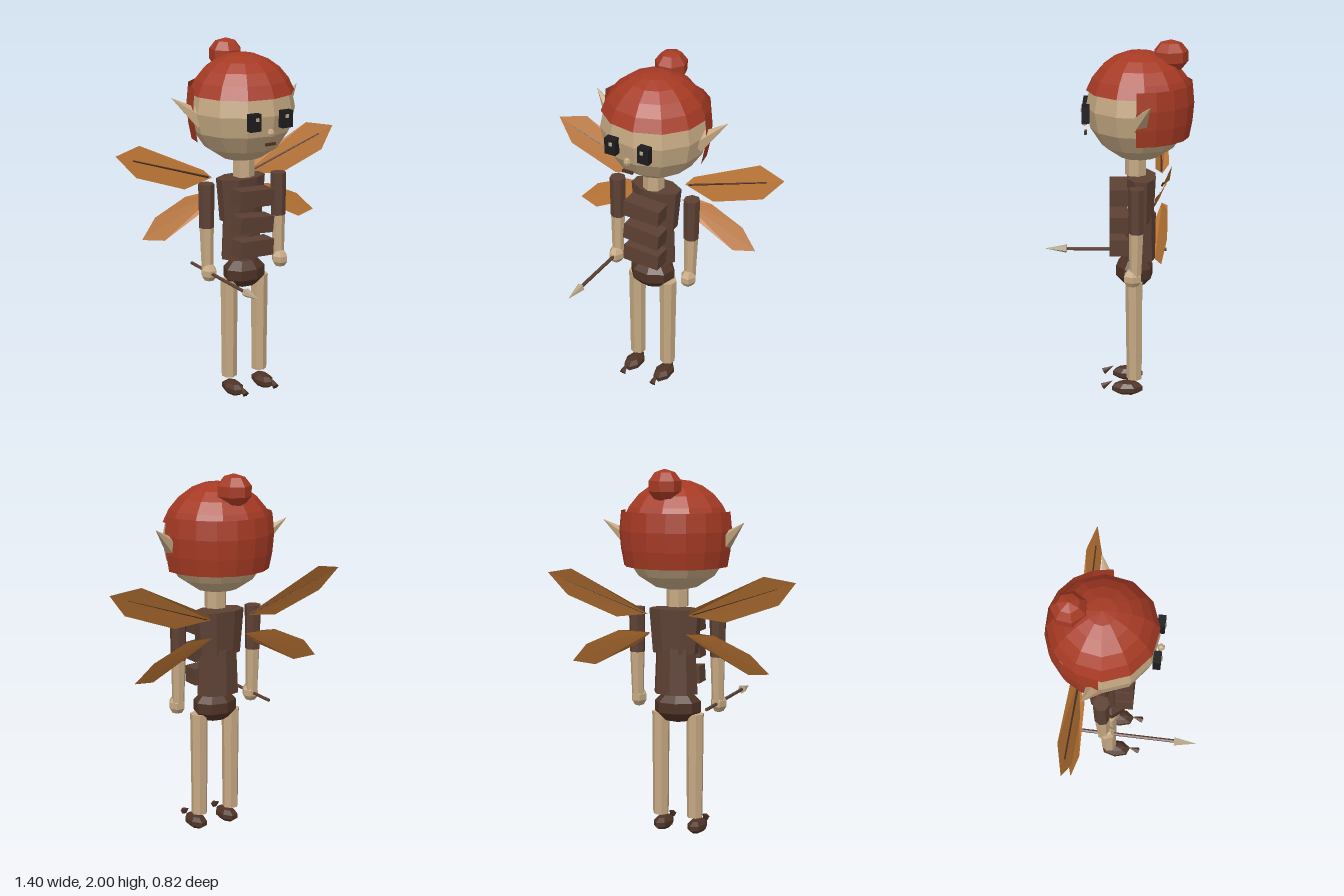
import * as THREE from 'three';

const mat = (name, color, side = THREE.FrontSide) => {
  const m = new THREE.MeshStandardMaterial({ color, side });
  m.name = name;
  return m;
};

export function createModel() {
  const model = new THREE.Group();
  model.name = 'fairyArcher';

  const skin = mat('skin', 0xc4a882);
  const hair = mat('hair', 0xa63a24, THREE.DoubleSide);
  const cloth = mat('brownCloth', 0x5c4033);
  const dark = mat('darkLeather', 0x4e3325);
  const wing = mat('wingAmber', 0xb87333, THREE.DoubleSide);
  const black = mat('eyeBlack', 0x1c1c1e);
  const bone = mat('bone', 0xb8a68a);

  // Faceted mesh placed at a position
  function add(name, geo, material, pos = [0, 0, 0], rot = [0, 0, 0], scale = [1, 1, 1]) {
    const g = geo.index ? geo.toNonIndexed() : geo;
    g.computeVertexNormals();
    const m = new THREE.Mesh(g, material);
    m.name = name;
    m.position.set(...pos);
    m.rotation.set(...rot);
    m.scale.set(...scale);
    model.add(m);
    return m;
  }
  // Tapered rod between two points, r0 at the start and r1 at the end
  function rod(name, a, b, r0, r1, sides, material) {
    const A = new THREE.Vector3(...a), B = new THREE.Vector3(...b);
    const d = B.clone().sub(A);
    const m = add(name, new THREE.CylinderGeometry(r1, r0, d.length(), sides), material,
      A.clone().add(B).multiplyScalar(0.5).toArray());
    m.quaternion.setFromUnitVectors(new THREE.Vector3(0, 1, 0), d.normalize());
    return m;
  }
  const ball = (w, h) => new THREE.SphereGeometry(1, w, h);

  // Head and neck
  add('head', ball(12, 8), skin, [0, 1.645, -0.12], [0, 0.1, 0], [0.295, 0.29, 0.283]);
  rod('neck', [0, 1.27, -0.105], [0, 1.39, -0.105], 0.06, 0.06, 7, skin);

  // Hair: cap, open shell at the back, and bun
  add('hairCap', new THREE.SphereGeometry(0.305, 12, 5, 0, Math.PI * 2, 0, 1.25), hair,
    [0, 1.64, -0.122], [0, 0.1, 0], [1, 1, 0.98]);
  const shell = [[0.283, 1.49], [0.3, 1.58], [0.308, 1.68], [0.298, 1.78]].map(p => new THREE.Vector2(...p));
  add('backHair', new THREE.LatheGeometry(shell, 9, Math.PI / 2, Math.PI), hair, [0, 0, -0.108]);
  add('bun', ball(7, 5), hair, [0, 1.915, -0.285], [0, 0.3, 0], [0.092, 0.088, 0.098]);

  // Face
  add('nose', ball(6, 4), skin, [0, 1.56, 0.17], [0, 0, 0], [0.021, 0.024, 0.021]);
  add('mouth', new THREE.BoxGeometry(0.062, 0.014, 0.014), dark, [0, 1.5, 0.165]);

  // Torso
  add('chest', new THREE.CylinderGeometry(0.15, 0.13, 0.24, 8), cloth, [0, 1.14, -0.135], [0, Math.PI / 8, 0], [1, 1, 1])
    .geometry.rotateY(-Math.PI / 8).scale(1, 1, 0.56);
  model.getObjectByName('chest').rotation.y = 0;
  model.getObjectByName('chest').geometry.computeVertexNormals();
  add('waist', new THREE.CylinderGeometry(0.113, 0.125, 0.25, 8).scale(1, 1, 0.75), cloth, [0, 0.925, -0.13]);
  add('hips', ball(8, 5), dark, [0, 0.722, -0.1], [0, 0.2, 0], [0.134, 0.092, 0.108]);

  // Overlapping wraps on the front of the torso
  [[1.17, -0.07], [1.02, -0.1], [0.885, -0.06]].forEach(([y, tilt], i) =>
    add('wrap' + (i + 1), new THREE.BoxGeometry(0.215, 0.092, 0.1), cloth, [0, y, -0.012], [0, 0.03, tilt]));

  // Wing blade: outline in x, y; z swings back towards its upper edge
  function wingBlade(name, outline, s) {
    const pts = outline.map(([x, y, z]) => new THREE.Vector3(s * x, y, z));
    const tris = [];
    for (let i = 1; i < pts.length - 1; i++) {
      const pair = s > 0 ? [i + 1, i] : [i, i + 1];
      tris.push(pts[0], pts[pair[0]], pts[pair[1]]);
    }
    add(name, new THREE.BufferGeometry().setFromPoints(tris), wing);
  }
  const upper = [[0.115, 1.24, -0.25], [0.15, 1.28, -0.285], [0.54, 1.468, -0.288],
    [0.7, 1.438, -0.25], [0.6, 1.315, -0.215], [0.31, 1.21, -0.213]];
  const lower = [[0.1, 1.14, -0.245], [0.19, 1.153, -0.275], [0.27, 1.148, -0.275],
    [0.465, 1.06, -0.27], [0.562, 0.957, -0.24], [0.44, 0.94, -0.21], [0.18, 1.075, -0.212]];

  for (const s of [1, -1]) {
    const side = s > 0 ? 'left' : 'right';

    // Eyes with a small glint
    add(side + 'Eye', new THREE.BoxGeometry(0.066, 0.092, 0.04), black, [s * 0.098, 1.625, 0.16]);
    add(side + 'EyeGlint', new THREE.BoxGeometry(0.018, 0.018, 0.008), bone, [s * 0.092, 1.643, 0.183]);

    // Pointed ear
    rod(side + 'Ear', [s * 0.25, 1.605, -0.12], [s * 0.397, 1.728, -0.18], 0.055, 0.001, 5, skin);

    // Arm
    const ax = s * 0.233;
    rod(side + 'Sleeve', [ax, 1.01, -0.112], [ax, 1.255, -0.112], 0.042, 0.045, 7, cloth);
    rod(side + 'Forearm', [ax, 0.77, -0.108], [ax, 1.012, -0.112], 0.033, 0.04, 7, skin);
    add(side + 'Hand', ball(6, 5), skin, [ax, 0.755, -0.092], [0, 0, 0], [0.046, 0.053, 0.054]);

    // Leg, foot and curled toe
    const lx = s * 0.1;
    rod(side + 'Leg', [lx, 0.108, -0.104], [lx, 0.685, -0.1], 0.044, 0.049, 7, skin);
    add(side + 'Foot', ball(7, 5), dark, [lx, 0.047, -0.063], [0, 0, 0], [0.053, 0.04, 0.092]);
    rod(side + 'ToeCurl', [lx, 0.053, 0.075], [lx, 0.087, 0.02], 0.02, 0.001, 5, dark);

    // Wings and vein
    wingBlade(side + 'UpperWing', upper, s);
    wingBlade(side + 'LowerWing', lower, s);
    rod(side + 'WingVein', [s * 0.14, 1.247, -0.246], [s * 0.6, 1.402, -0.246], 0.006, 0.004, 4, dark);
  }

  // Arrow held in the right hand
  rod('arrowShaft', [-0.233, 0.755, -0.28], [-0.233, 0.755, 0.3], 0.01, 0.01, 6, cloth);
  rod('arrowHead', [-0.233, 0.755, 0.29], [-0.233, 0.755, 0.41], 0.025, 0.001, 5, bone);

  return model;
}
